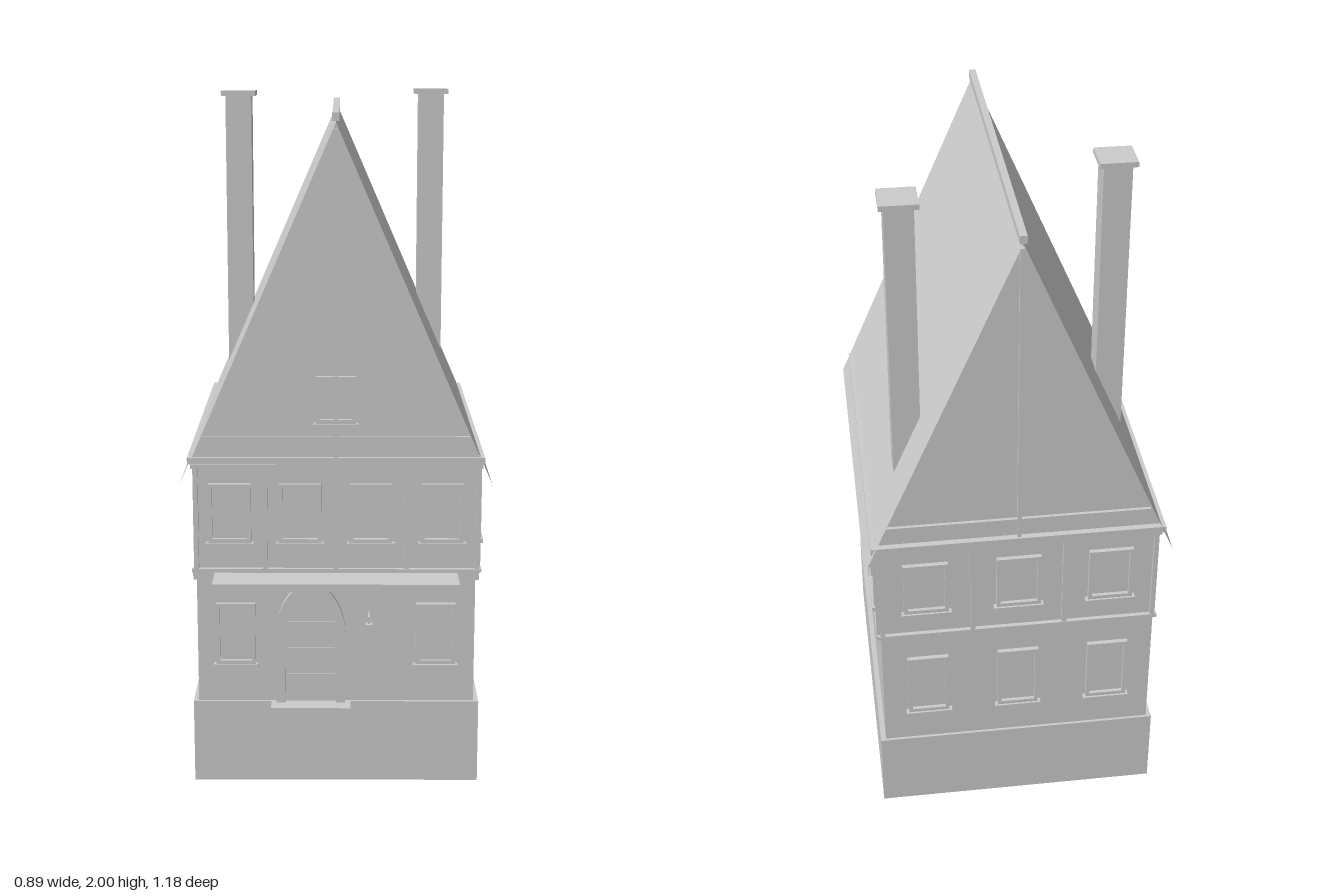
import * as THREE from 'three';

const mat = new THREE.MeshStandardMaterial({ color: 0xcccccc });
const thin = new THREE.MeshStandardMaterial({ color: 0xcccccc, side: THREE.DoubleSide });

function add(parent, name, geo, material = mat) {
  const m = new THREE.Mesh(geo, material);
  m.name = name;
  parent.add(m);
  return m;
}

// Box given by its extents along each axis
function box(parent, name, x0, x1, y0, y1, z0, z1) {
  const m = add(parent, name, new THREE.BoxGeometry(x1 - x0, y1 - y0, z1 - z0));
  m.position.set((x0 + x1) / 2, (y0 + y1) / 2, (z0 + z1) / 2);
  return m;
}

// Group whose local z = 0 plane lies on a wall, facing outwards
function wallGroup(parent, name, x, z, turn) {
  const g = new THREE.Group();
  g.name = name;
  g.position.set(x, 0, z);
  g.rotation.y = turn;
  parent.add(g);
  return g;
}

// Framed window with a projecting sill
function windowUnit(wall, name, x, y0, y1, w) {
  const g = new THREE.Group();
  g.name = name;
  const h = w / 2, t = 0.011;
  const frame = new THREE.Shape([[-h, y0], [h, y0], [h, y1], [-h, y1]].map(p => new THREE.Vector2(...p)));
  frame.holes.push(new THREE.Path([[-h + t, y0 + t], [-h + t, y1 - t], [h - t, y1 - t], [h - t, y0 + t]]
    .map(p => new THREE.Vector2(...p))));
  add(g, 'windowFrame', new THREE.ExtrudeGeometry(frame, { depth: 0.014, bevelEnabled: false }));
  box(g, 'windowPane', -h + t, h - t, y0 + t, y1 - t, -0.002, 0.003);
  box(g, 'windowSill', -h - 0.008, h + 0.008, y0 - 0.013, y0, 0, 0.02);
  g.position.x = x;
  wall.add(g);
}

// Pointed arch outline, used for the door and its surround
function archPath(Type, half, bottom, spring, top) {
  const p = new Type();
  p.moveTo(-half, bottom);
  p.lineTo(half, bottom);
  p.lineTo(half, spring);
  p.quadraticCurveTo(half, spring + (top - spring) * 0.62, 0, top);
  p.quadraticCurveTo(-half, spring + (top - spring) * 0.62, -half, spring);
  p.closePath();
  return p;
}

export function createModel() {
  const house = new THREE.Group();
  house.name = 'house';

  // Plinth, open underneath
  const base = new THREE.BoxGeometry(0.84, 0.25, 1.015);
  const idx = Array.from(base.index.array);
  idx.splice(18, 6);
  base.setIndex(idx);
  base.clearGroups();
  add(house, 'plinth', base, thin).position.set(0, 0.125, -0.056);

  // Two storeys, the upper one overhanging the front
  box(house, 'lowerStorey', -0.405, 0.405, 0.25, 0.665, -0.555, 0.442);
  box(house, 'upperStorey', -0.405, 0.405, 0.66, 1.0, -0.556, 0.478);
  box(house, 'jettyBeam', -0.412, 0.412, 0.635, 0.66, 0.43, 0.478);
  box(house, 'wallPlate', -0.423, 0.423, 0.98, 1.0, -0.575, 0.488);

  // Gable prism
  const tri = new THREE.Shape([new THREE.Vector2(-0.409, 1), new THREE.Vector2(0.409, 1), new THREE.Vector2(0, 1.937)]);
  add(house, 'gables', new THREE.ExtrudeGeometry(tri, { depth: 1.034, bevelEnabled: false })).position.z = -0.556;

  // Thin roof slopes and ridge
  const rise = 1.02, run = 0.444, length = 1.095;
  for (const s of [-1, 1]) {
    const slope = new THREE.PlaneGeometry(length, Math.hypot(rise, run));
    slope.rotateY(s * Math.PI / 2);
    slope.rotateZ(s * Math.atan2(run, rise));
    add(house, 'roofSlope', slope, thin).position.set(s * run / 2, 0.925 + rise / 2, -0.0375);
  }
  box(house, 'ridge', -0.01, 0.01, 1.942, 1.965, -0.585, 0.51);

  // Chimneys with cap slabs
  for (const [x, z] of [[0.302, -0.393], [-0.304, -0.218]]) {
    const r = 0.04, c = 0.053;
    box(house, 'chimney', x - r, x + r, 1.1, 1.985, z - r, z + r);
    box(house, 'chimneyCap', x - c, x + c, 1.985, 2.0, z - c, z + c);
  }

  // Timber posts and rails of the upper storey
  const timber = (wall, half, posts) => {
    for (const x of posts) box(wall, 'timberPost', x - 0.007, x + 0.007, 0.67, 0.98, 0, 0.012);
    box(wall, 'sillBeam', -half, half, 0.66, 0.671, 0, 0.013);
    box(wall, 'topRail', -half, half, 0.968, 0.98, 0, 0.013);
  };
  const gableTimber = wall => {
    box(wall, 'gablePost', -0.006, 0.006, 1.0, 1.92, 0, 0.012);
    box(wall, 'gableBeam', -0.378, 0.378, 1.05, 1.062, 0, 0.01);
  };

  // Front upper wall
  const front = wallGroup(house, 'frontUpperWall', 0, 0.478, 0);
  timber(front, 0.414, [-0.401, -0.203, 0, 0.203, 0.405]);
  gableTimber(front);
  for (const x of [-0.304, -0.103, 0.1, 0.304]) windowUnit(front, 'upperFrontWindow', x, 0.75, 0.923, 0.122);
  windowUnit(front, 'gableWindow', 0, 1.1, 1.235, 0.112);

  // Left side upper wall with its row of windows
  const side = wallGroup(house, 'leftUpperWall', 0.405, -0.039, Math.PI / 2);
  timber(side, 0.525, [-0.49, -0.311, -0.105, 0.101, 0.307, 0.511]);
  for (let i = -2; i <= 2; i++) windowUnit(side, 'sideWindow', i * 0.206, 0.75, 0.925, 0.138);

  // Back wall, both storeys
  const back = wallGroup(house, 'backWall', 0, -0.556, Math.PI);
  timber(back, 0.414, [-0.4, -0.135, 0.135, 0.4]);
  gableTimber(back);
  for (const x of [-0.27, 0, 0.27]) {
    windowUnit(back, 'upperBackWindow', x, 0.75, 0.923, 0.13);
    windowUnit(back, 'lowerBackWindow', x, 0.365, 0.573, 0.122);
  }

  // Front ground floor
  const ground = wallGroup(house, 'frontGroundWall', 0, 0.442, 0);
  for (const x of [-0.293, 0.291]) windowUnit(ground, 'lowerFrontWindow', x, 0.368, 0.553, 0.115);

  // Pointed door, surround and step
  const door = new THREE.Group();
  door.name = 'door';
  door.position.x = -0.074;
  ground.add(door);
  const surround = archPath(THREE.Shape, 0.101, 0.25, 0.465, 0.637);
  surround.holes.push(archPath(THREE.Path, 0.074, 0.2501, 0.465, 0.617));
  add(door, 'doorSurround', new THREE.ExtrudeGeometry(surround, { depth: 0.02, bevelEnabled: false, curveSegments: 10 }));
  const leaf = archPath(THREE.Shape, 0.074, 0.25, 0.465, 0.617);
  add(door, 'doorLeaf', new THREE.ExtrudeGeometry(leaf, { depth: 0.005, bevelEnabled: false, curveSegments: 10 }));
  for (const y of [0.33, 0.41, 0.49]) box(door, 'doorRail', -0.07, 0.07, y, y + 0.006, 0.004, 0.008);
  box(house, 'doorStep', -0.19, 0.042, 0.18, 0.25, 0.4, 0.505);

  // Canopy over the entrance
  box(house, 'canopy', -0.35, 0.35, 0.636, 0.658, 0.442, 0.592);

  // Lantern on its bracket
  box(house, 'lanternBracket', 0.093, 0.098, 0.52, 0.526, 0.44, 0.492);
  box(house, 'lanternHanger', 0.093, 0.098, 0.5, 0.524, 0.487, 0.492);
  box(house, 'lantern', 0.085, 0.106, 0.463, 0.505, 0.479, 0.5);

  return house;
}
